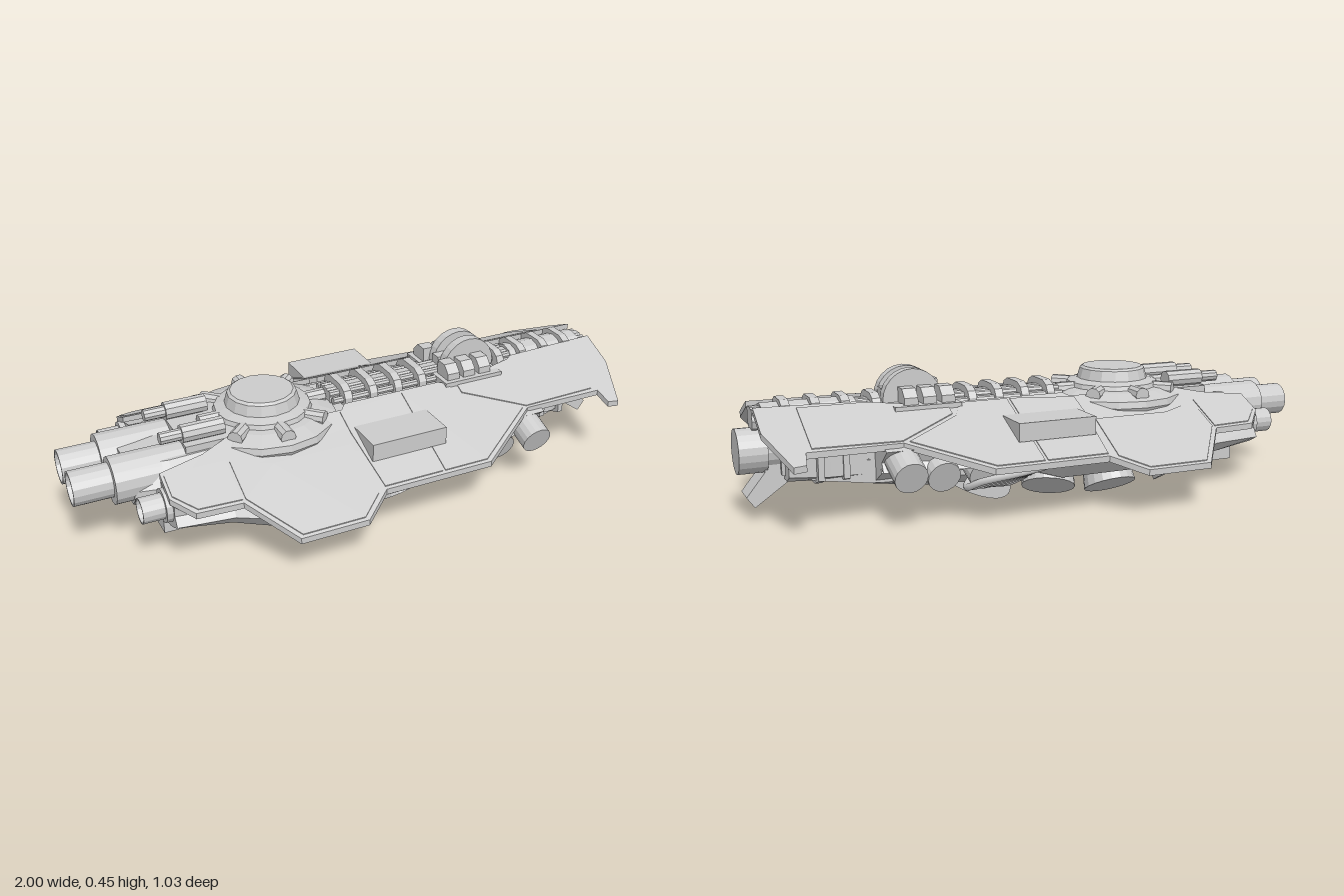
import * as THREE from 'three';

const mat = new THREE.MeshStandardMaterial({ color: 0xcccccc, flatShading: true });
const openMat = new THREE.MeshStandardMaterial({ color: 0xcccccc, flatShading: true, side: THREE.DoubleSide });
const smooth = new THREE.MeshStandardMaterial({ color: 0xcccccc, side: THREE.DoubleSide });

function add(parent, name, geo, x = 0, y = 0, z = 0, m = mat) {
  const mesh = new THREE.Mesh(geo, m);
  mesh.name = name;
  mesh.position.set(x, y, z);
  parent.add(mesh);
  return mesh;
}
// box from min/max extents
function box(parent, name, x0, x1, y0, y1, z0, z1) {
  return add(parent, name, new THREE.BoxGeometry(x1 - x0, y1 - y0, z1 - z0),
    (x0 + x1) / 2, (y0 + y1) / 2, (z0 + z1) / 2);
}
// cylinder lying along x
function rod(parent, name, x0, x1, y, z, r, n = 16) {
  const geo = new THREE.CylinderGeometry(r, r, x1 - x0, n).rotateZ(Math.PI / 2);
  return add(parent, name, geo, (x0 + x1) / 2, y, z);
}
// drum whose outer cap is centred on a point and faces along dir
function drum(parent, name, cap, dir, r0, r1, length) {
  const c = add(parent, name, new THREE.CylinderGeometry(r1, r0, length, 18));
  c.position.set(...cap).addScaledVector(dir, -length / 2);
  c.quaternion.setFromUnitVectors(new THREE.Vector3(0, 1, 0), dir);
}
// open-ended nozzle whose mouth faces -x
function nozzle(parent, name, x0, x1, y, z, r) {
  const pts = [[0, 0.08], [r * 0.82, 0.08], [r * 0.88, 0], [r, 0], [r, x1 - x0], [0, x1 - x0]]
    .map(p => new THREE.Vector2(...p));
  add(parent, name, new THREE.LatheGeometry(pts, 16).rotateZ(-Math.PI / 2), x0, y, z, openMat);
}
// skin between cross-sections [x, [[z, y], ...]], each ring running top -> +z -> bottom
function loft(parent, name, sections) {
  const pos = [], rings = sections.map(([x, pts]) => pts.map(([z, y]) => [x, y, z]));
  const n = rings[0].length;
  for (let s = 0; s < rings.length - 1; s++)
    for (let i = 0; i < n; i++) {
      const j = (i + 1) % n, a = rings[s], b = rings[s + 1];
      pos.push(...a[i], ...a[j], ...b[j], ...a[i], ...b[j], ...b[i]);
    }
  const first = rings[0], last = rings[rings.length - 1];
  for (let i = 1; i < n - 1; i++)
    pos.push(...last[0], ...last[i], ...last[i + 1], ...first[0], ...first[i + 1], ...first[i]);
  const geo = new THREE.BufferGeometry();
  geo.setAttribute('position', new THREE.Float32BufferAttribute(pos, 3));
  geo.computeVertexNormals();
  return add(parent, name, geo);
}
const mirrored = half => [...half, ...half.filter(p => p[0] > 0).reverse().map(([z, y]) => [-z, y])];

// sheet with an (x, z) outline laid on the sloping armour plane
function plate(parent, name, outline, lift = 0, thick = 0.02) {
  const shape = new THREE.Shape(outline.map(([x, z]) => new THREE.Vector2(x, -z)));
  const geo = new THREE.ExtrudeGeometry(shape, { depth: thick, bevelEnabled: false }).rotateX(-Math.PI / 2);
  const p = geo.attributes.position;
  for (let i = 0; i < p.count; i++)
    p.setY(i, p.getY(i) - thick + 0.4 + lift - 0.46 * p.getZ(i));
  geo.computeVertexNormals();
  return add(parent, name, geo);
}

function buildSide() {
  const g = new THREE.Group();
  // sloping armour and its overlapping panels
  plate(g, 'armourPlate', [[0.95, 0.06], [0.95, 0.18], [0.89, 0.34], [0.85, 0.335], [0.84, 0.282], [0.54, 0.282],
    [0.3, 0.435], [-0.09, 0.435], [-0.19, 0.515], [-0.42, 0.515], [-0.54, 0.36], [-0.69, 0.355],
    [-0.75, 0.29], [-0.75, 0.2], [-0.6, 0.17], [-0.5, 0.13], [-0.1, 0.13], [-0.08, 0.11], [0.28, 0.11], [0.32, 0.13], [0.55, 0.1], [0.6, 0.07]]);
  plate(g, 'frontPanel', [[0.82, 0.08], [0.82, 0.27], [0.54, 0.275], [0.34, 0.17], [0.34, 0.13], [0.6, 0.08]], 0.003, 0.01);
  plate(g, 'shoulderPanel', [[0.33, 0.18], [0.52, 0.28], [0.29, 0.425], [0.13, 0.425], [0.13, 0.12], [0.3, 0.12]], 0.003, 0.01);
  plate(g, 'midPanel', [[0.12, 0.12], [0.12, 0.425], [-0.09, 0.425], [-0.11, 0.22], [-0.11, 0.14]], 0.003, 0.01);
  plate(g, 'wingPanel', [[-0.13, 0.26], [-0.12, 0.44], [-0.2, 0.505], [-0.41, 0.505], [-0.53, 0.35], [-0.53, 0.22], [-0.4, 0.26]], 0.003, 0.01);
  plate(g, 'rearPanel', [[-0.54, 0.21], [-0.54, 0.35], [-0.68, 0.345], [-0.74, 0.285], [-0.74, 0.21]], 0.003, 0.01);
  box(g, 'roofBox', -0.09, 0.18, 0.25, 0.31, 0.2, 0.34);

  // long side pod under the armour
  const pod = (k, d) => [[0.17, 0.29], [0.3, 0.25], [0.38 * k, 0.205], [0.405 * k, 0.175], [0.36 * k, 0.125 + d], [0.24, 0.11 + d], [0.17, 0.13]];
  loft(g, 'sidePod', [[-0.74, pod(0.78, 0.03)], [-0.56, pod(0.84, 0.01)], [-0.45, pod(1, 0)], [0.04, pod(1, 0)], [0.12, pod(0.9, 0.02)]]);
  loft(g, 'forwardPod', [[0.1, pod(0.8, 0.05)], [0.45, pod(0.74, 0.05)], [0.6, pod(0.64, 0.06)]]);

  // three large drums fanning outward and down
  [[-0.43, 0.09, 0.29, -0.3], [-0.19, 0.05, 0.255, 0], [0.05, 0.078, 0.275, 0.25]].forEach(([x, y, z, lean]) =>
    drum(g, 'bellyDrum', [x, y, z], new THREE.Vector3(lean, -0.87, 0.49).normalize(), 0.07, 0.088, 0.16));
  // three smaller side tubes
  const out = new THREE.Vector3(0, -0.35, 0.94).normalize();
  [[0.28, 0.145, 0.3], [0.42, 0.155, 0.31], [0.54, 0.175, 0.352]].forEach(cap =>
    drum(g, 'sideTube', cap, out, 0.053, 0.053, 0.2));
  // cable bundles curling from the pod to the belly
  for (let i = 0; i < 6; i++) {
    const o = i * 0.022;
    const path = new THREE.CatmullRomCurve3([[0.06, 0.185 - o / 4, 0.385 - o], [0.18 - o / 2, 0.165 - o / 3, 0.385 - o],
      [0.3 - o, 0.13 - o / 4, 0.32 - o / 2], [0.33 - o, 0.1, 0.26 - o / 3], [0.27 - o, 0.13, 0.19]].map(p => new THREE.Vector3(...p)));
    add(g, 'cable', new THREE.TubeGeometry(path, 20, 0.012, 7), 0, 0, 0, smooth);
  }
  // belly skids with rounded heels
  const skid = new THREE.Shape();
  skid.moveTo(0.34, 0.13);
  skid.lineTo(0.14, 0.13);
  skid.lineTo(0.13, 0.05);
  skid.quadraticCurveTo(0.13, 0.015, 0.18, 0.016);
  skid.quadraticCurveTo(0.25, 0.025, 0.34, 0.085);
  [0.05, 0.135].forEach(z =>
    add(g, 'bellySkid', new THREE.ExtrudeGeometry(skid, { depth: 0.03, bevelEnabled: false, curveSegments: 5 }), 0, 0, z - 0.015));

  // engines
  nozzle(g, 'mainNozzle', -1, -0.82, 0.25, 0.073, 0.057);
  rod(g, 'mainEngineSleeve', -0.875, -0.5, 0.25, 0.08, 0.078);
  nozzle(g, 'outerNozzle', -0.83, -0.6, 0.215, 0.235, 0.042);
  rod(g, 'outerEngineSleeve', -0.76, -0.55, 0.215, 0.235, 0.055);
  // rear barrels on the deck
  rod(g, 'rearBarrel', -0.71, -0.5, 0.36, 0.085, 0.02, 10);
  rod(g, 'barrelCollar', -0.64, -0.5, 0.36, 0.085, 0.03, 10);

  // tubes either side of the nose
  rod(g, 'noseTube', 0.6, 0.87, 0.265, 0.113, 0.054);

  // spine side fittings
  for (let i = 0; i < 3; i++) {
    const section = [[0.05, 0.402], [0.095, 0.402], [0.122, 0.375], [0.122, 0.32], [0.05, 0.32]];
    const x = 0.312 + i * 0.063;
    loft(g, 'spineModule', [[x, section], [x + 0.046, section]]);
  }
  rod(g, 'spinePipe', -0.1, 0.95, 0.352, 0.03, 0.012, 8);
  rod(g, 'spinePipeOuter', -0.1, 0.32, 0.34, 0.062, 0.012, 8);
  add(g, 'spineWheel', new THREE.CylinderGeometry(0.1, 0.1, 0.035, 24).rotateX(Math.PI / 2), 0.435, 0.358, 0.036);
  return g;
}

export function createModel() {
  const ship = new THREE.Group();
  ship.name = 'ship';
  for (const [s, name] of [[1, 'leftSide'], [-1, 'rightSide']]) {
    const side = buildSide();
    side.name = name;
    side.scale.z = s;
    ship.add(side);
  }

  // central hull and belly
  const hull = (top, tw, w, bot) => mirrored([[tw, top], [w, top - 0.07], [w, bot + 0.03], [w * 0.8, bot]]);
  loft(ship, 'hull', [[-0.82, hull(0.3, 0.1, 0.15, 0.17)], [-0.7, hull(0.31, 0.14, 0.19, 0.14)],
    [0.3, hull(0.325, 0.11, 0.18, 0.12)], [0.6, hull(0.325, 0.09, 0.17, 0.12)]]);
  const belly = (w, y) => mirrored([[w, 0.2], [w, Math.max(0.125, y + 0.01)], [w * 0.65, y + 0.02], [0, y]]);
  loft(ship, 'belly', [[-0.74, belly(0.17, 0.06)], [-0.5, belly(0.2, 0.055)], [0.1, belly(0.2, 0.04)],
    [0.4, belly(0.2, 0.065)], [0.58, belly(0.18, 0.085)], [0.62, belly(0.17, 0.11)], [0.78, belly(0.13, 0.13)], [0.87, belly(0.06, 0.14)]]);
  box(ship, 'rearKeel', -0.74, -0.47, 0.062, 0.165, -0.16, 0.16);

  // nose housing with raised frames
  const housing = (k, o) => mirrored([[0.06 + o, 0.33], [0.17 * k + o, 0.265 + o], [0.17 * k + o, 0.155 - o], [0.12 * k, 0.135 - o]]);
  loft(ship, 'noseHousing', [[0.55, housing(1, 0)], [0.74, housing(0.95, 0)], [0.86, housing(0.7, 0)]]);
  [0.6, 0.68, 0.76].forEach(x => loft(ship, 'noseFrame', [[x, housing(0.96, 0.008)], [x + 0.02, housing(0.95, 0.008)]]));
  rod(ship, 'noseDrum', 0.91, 1, 0.226, 0, 0.073, 20);
  rod(ship, 'noseCollar', 0.84, 0.93, 0.226, 0, 0.062, 16);
  rod(ship, 'noseHood', 0.62, 0.92, 0.31, 0, 0.066, 12);
  const beak = new THREE.Shape([[0.72, 0.16], [0.84, 0.13], [0.955, 0.05], [0.98, 0.085], [0.92, 0.16], [0.91, 0.3], [0.85, 0.3]]
    .map(p => new THREE.Vector2(...p)));
  add(ship, 'noseBeak', new THREE.ExtrudeGeometry(beak, { depth: 0.09, bevelEnabled: false }), 0, 0, -0.045);

  // spine with arched ribs and a central block
  rod(ship, 'spineCore', -0.1, 0.95, 0.325, 0, 0.042, 10);
  [-0.05, 0.045, 0.14, 0.235, 0.56, 0.66, 0.755, 0.85].forEach((x, i) => {
    const w = i < 4 ? 0.085 : 0.075;
    loft(ship, 'spineRib', [x - 0.014, x + 0.014].map(v =>
      [v, mirrored([[w * 0.5, 0.386], [w * 0.85, 0.372], [w, 0.35], [w, 0.3]])]));
  });
  box(ship, 'spineBlock', 0.295, 0.52, 0.29, 0.352, -0.14, 0.14);
  box(ship, 'spineCap', 0.33, 0.53, 0.35, 0.395, -0.02, 0.02);

  // deck turret
  const turret = new THREE.Group();
  turret.name = 'turret';
  turret.position.set(-0.33, 0, 0);
  ship.add(turret);
  const ring = [[0, 0.27], [0.235, 0.27], [0.25, 0.3], [0.245, 0.322], [0.19, 0.342], [0.165, 0.345], [0.16, 0.36], [0.125, 0.37],
    [0.115, 0.405], [0.105, 0.412], [0, 0.412]].map(p => new THREE.Vector2(...p));
  add(turret, 'turretBody', new THREE.LatheGeometry(ring, 16));
  for (let i = 0; i < 8; i++) {
    const arm = new THREE.Group();
    arm.name = 'turretLug';
    arm.rotation.y = i * Math.PI / 4;
    turret.add(arm);
    rod(arm, 'turretLugDrum', 0.15, 0.222, 0.338, 0, 0.026, 10);
  }
  box(ship, 'rearDeckHouse', -0.64, -0.5, 0.29, 0.335, -0.13, 0.13);
  return ship;
}
